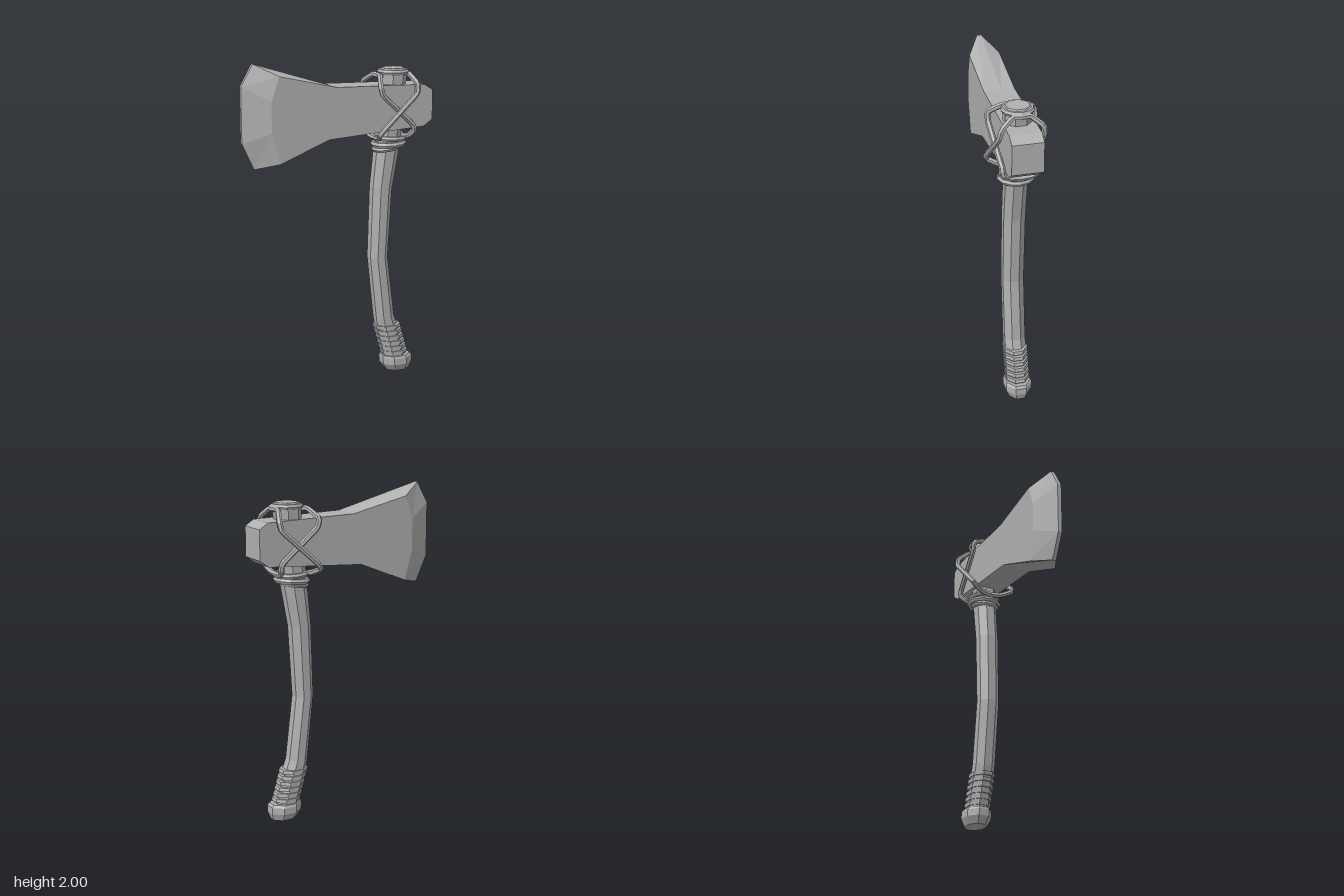
import * as THREE from 'three';

const stone = new THREE.MeshStandardMaterial({ color: 0xb0b0b0 });
stone.name = 'plain grey';

// faceted mesh: every face gets its own normal
function facet(geo, name) {
  const g = geo.index ? geo.toNonIndexed() : geo;
  g.computeVertexNormals();
  const mesh = new THREE.Mesh(g, stone);
  mesh.name = name;
  return mesh;
}

// skin between rings of equal point count, closed at both ends;
// flat(p) gives the 2D position used to fill the end caps
function loft(rings, flat, name) {
  const n = rings[0].length, pos = [];
  const tri = (...pts) => pts.forEach(p => pos.push(p.x, p.y, p.z));
  for (let k = 0; k < rings.length - 1; k++) {
    const a = rings[k], b = rings[k + 1];
    for (let i = 0; i < n; i++) {
      const j = (i + 1) % n;
      tri(a[i], b[i], b[j]);
      tri(a[i], b[j], a[j]);
    }
  }
  const last = rings[rings.length - 1];
  for (const [a, b, c] of THREE.ShapeUtils.triangulateShape(rings[0].map(flat), [])) {
    tri(rings[0][a], rings[0][b], rings[0][c]);
    tri(last[a], last[c], last[b]);
  }
  const g = new THREE.BufferGeometry();
  g.setAttribute('position', new THREE.Float32BufferAttribute(pos, 3));
  return facet(g, name);
}

// eight-sided ring with half widths rx, rz and a slope in x
function octagon([x, y, rx, rz, tilt = 0]) {
  return Array.from({ length: 8 }, (_, i) => {
    const a = (i + 0.5) * Math.PI / 4, s = 1 / Math.cos(Math.PI / 8);
    const dx = Math.cos(a) * rx * s;
    return new THREE.Vector3(x + dx, y + dx * tilt, -Math.sin(a) * rz * s);
  });
}
const fromTop = p => new THREE.Vector2(p.x, -p.z);
const fromFront = p => new THREE.Vector2(p.x, p.y);

function cord(points, name) {
  const curve = new THREE.CatmullRomCurve3(
    points.map(p => new THREE.Vector3(...p)), true, 'catmullrom', 0.12);
  return facet(new THREE.TubeGeometry(curve, 64, 0.017, 6, true), name);
}

function coil(x, y, r, tube, tilt, name) {
  const g = new THREE.TorusGeometry(r, tube, 6, 12);
  g.rotateX(Math.PI / 2);
  g.rotateZ(tilt);
  g.translate(x, y, 0);
  return facet(g, name);
}

export function createModel() {
  const axe = new THREE.Group();
  axe.name = 'axe';

  // head: flat sides, with a rim that narrows to the cutting edge
  const side = [[0.595, 1.62], [0.595, 1.8], [0.54, 1.835], [-0.03, 1.848], [-0.39, 1.93],
    [-0.44, 1.79], [-0.44, 1.6], [-0.39, 1.415], [-0.08, 1.54], [0.54, 1.58]];
  const rim = side.map(p => [...p]);
  rim[4] = [-0.525, 2]; rim[5] = [-0.598, 1.87];
  rim[6] = [-0.598, 1.54]; rim[7] = [-0.525, 1.38];
  const at = (pts, z) => pts.map(([x, y]) => new THREE.Vector3(x, y, z));
  axe.add(loft([at(side, 0.092), at(rim, 0.013), at(rim, -0.013), at(side, -0.092)],
    fromFront, 'axeHead'));

  // curved handle, top to bottom
  const handle = [
    [0.372, 1.935, 0.065, 0.065], [0.372, 1.915, 0.08, 0.08], [0.365, 1.8, 0.075, 0.075],
    [0.332, 1.45, 0.074, 0.066, -0.12], [0.297, 1.2, 0.064, 0.065, -0.08],
    [0.278, 0.76, 0.058, 0.064], [0.325, 0.36, 0.06, 0.064, 0.12],
    [0.345, 0.29, 0.068, 0.064], [0.4, 0.09, 0.074, 0.064],
  ];
  axe.add(loft(handle.map(octagon), fromTop, 'handle'));

  // ribbed grip
  const grip = new THREE.Group();
  grip.name = 'grip';
  for (let i = 0; i < 6; i++) {
    const y = 0.298 - i * 0.035, x = 0.345 + i * 0.01;
    grip.add(loft([[x, y + 0.011, 0.083, 0.071], [x + 0.005, y - 0.011, 0.083, 0.071]]
      .map(octagon), fromTop, 'gripRib'));
  }
  axe.add(grip);

  // end knob
  axe.add(loft([[0.405, 0.1, 0.093, 0.074], [0.41, 0.085, 0.1, 0.081],
    [0.412, 0.045, 0.099, 0.081], [0.42, 0, 0.076, 0.06]].map(octagon), fromTop, 'knob'));

  // cord coils round the neck and the handle top
  const lashing = new THREE.Group();
  lashing.name = 'lashing';
  lashing.add(coil(0.345, 1.475, 0.092, 0.018, 0.05, 'neckCoil'));
  lashing.add(coil(0.35, 1.51, 0.088, 0.016, -0.04, 'upperNeckCoil'));
  lashing.add(coil(0.33, 1.45, 0.074, 0.016, 0.14, 'lowerNeckCoil'));
  lashing.add(coil(0.372, 1.912, 0.08, 0.017, 0, 'topCoil'));

  // two crossing loops; each half is mirrored in z
  const loop = (half, name) => cord([...half,
    ...half.slice(1, -1).reverse().map(([x, y, z]) => [x, y, -z])], name);
  lashing.add(loop([[0.462, 1.9, 0], [0.455, 1.9, 0.05], [0.482, 1.845, 0.118],
    [0.47, 1.785, 0.13], [0.255, 1.59, 0.15], [0.225, 1.55, 0.14],
    [0.25, 1.52, 0.075], [0.262, 1.51, 0]], 'outerLoop'));
  lashing.add(loop([[0.275, 1.89, 0], [0.262, 1.895, 0.05], [0.23, 1.845, 0.135],
    [0.25, 1.785, 0.135], [0.455, 1.6, 0.11], [0.468, 1.565, 0.11],
    [0.448, 1.525, 0.07], [0.44, 1.515, 0]], 'innerLoop'));
  axe.add(lashing);

  return axe;
}
